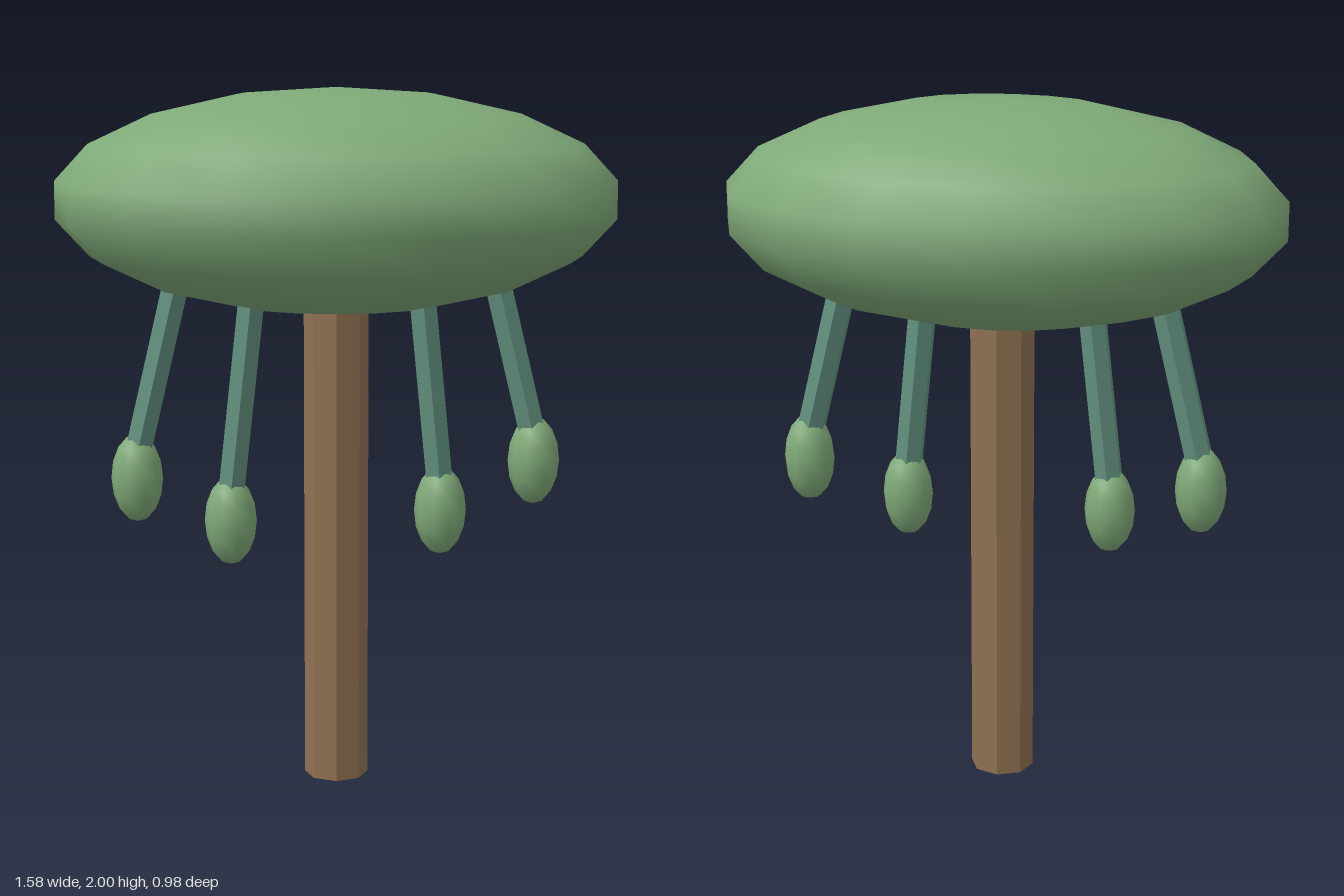
import * as THREE from 'three';

const leaf = new THREE.MeshStandardMaterial({ color: 0x7fa978 });
const bark = new THREE.MeshStandardMaterial({ color: 0x8f7152, flatShading: true });
const vine = new THREE.MeshStandardMaterial({ color: 0x62917f, flatShading: true });

function ellipsoid(name, radii, position, widthSegments, heightSegments) {
  const geometry = new THREE.SphereGeometry(1, widthSegments, heightSegments);
  geometry.scale(...radii);
  const mesh = new THREE.Mesh(geometry, leaf);
  mesh.name = name;
  mesh.position.set(...position);
  return mesh;
}

// Straight prism running between two points
function rod(name, from, to, radius, sides, material) {
  const a = new THREE.Vector3(...from);
  const b = new THREE.Vector3(...to);
  const direction = b.clone().sub(a);
  const mesh = new THREE.Mesh(new THREE.CylinderGeometry(radius, radius, direction.length(), sides), material);
  mesh.name = name;
  mesh.position.copy(a).add(b).multiplyScalar(0.5);
  mesh.quaternion.setFromUnitVectors(new THREE.Vector3(0, 1, 0), direction.normalize());
  return mesh;
}

export function createModel() {
  const model = new THREE.Group();
  model.name = 'tree';

  model.add(rod('trunk', [0, 0, 0], [0, 1.45, 0], 0.092, 8, bark));
  model.add(ellipsoid('canopy', [0.802, 0.315, 0.5], [0, 1.685, 0], 16, 9));

  // Hanging stems with pods: top x, pod x, pod height, depth
  const hangers = [
    [-0.445, -0.57, 0.893, 0.02],
    [-0.23, -0.3, 0.787, 0.1],
    [0.235, 0.295, 0.812, 0.08],
    [0.45, 0.567, 0.937, -0.01],
  ];
  for (const [topX, podX, podY, z] of hangers) {
    const hanger = new THREE.Group();
    hanger.name = 'hanger';
    hanger.add(rod('stem', [topX, 1.48, z], [podX, podY + 0.06, z], 0.042, 6, vine));
    hanger.add(ellipsoid('pod', [0.074, 0.128, 0.074], [podX, podY, z], 10, 8));
    model.add(hanger);
  }
  return model;
}
